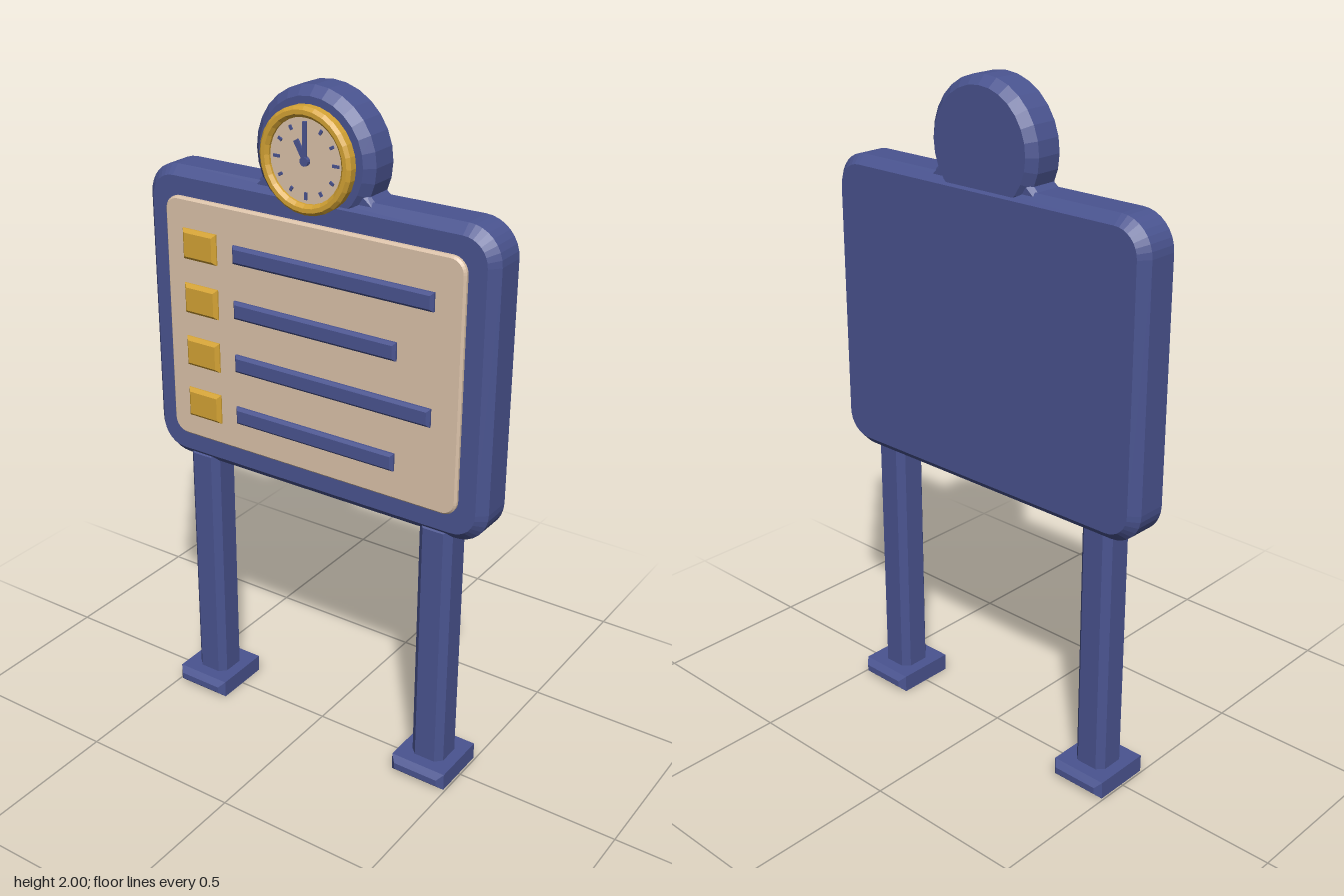
import * as THREE from 'three';

const mat = (name, color) => {
  const m = new THREE.MeshStandardMaterial({ color });
  m.name = name;
  return m;
};

// Rectangle outline centred on the origin, with optional rounded corners
function rectShape(w, h, r = 0) {
  const s = new THREE.Shape(), x = w / 2, y = h / 2;
  if (!r) {
    return s.moveTo(-x, -y).lineTo(x, -y).lineTo(x, y).lineTo(-x, y).closePath();
  }
  s.absarc(x - r, y - r, r, 0, Math.PI / 2);
  s.absarc(-x + r, y - r, r, Math.PI / 2, Math.PI);
  s.absarc(-x + r, -y + r, r, Math.PI, Math.PI * 1.5);
  s.absarc(x - r, -y + r, r, Math.PI * 1.5, Math.PI * 2);
  return s.closePath();
}

function circleShape(r, hole = 0) {
  const s = new THREE.Shape();
  s.absarc(0, 0, r, 0, Math.PI * 2);
  if (hole) s.holes.push(new THREE.Path().absarc(0, 0, hole, 0, Math.PI * 2, true));
  return s;
}

// Plate from z0 to z1 with one chamfer step; the shape is its widest outline
function plate(shape, z0, z1, bevel, segments = 4) {
  return new THREE.ExtrudeGeometry(shape, {
    depth: z1 - z0 - 2 * bevel, curveSegments: segments, bevelEnabled: bevel > 0,
    bevelThickness: bevel, bevelSize: bevel, bevelOffset: -bevel, bevelSegments: 1,
  }).translate(0, 0, z0 + bevel);
}

export function createModel() {
  const model = new THREE.Group();
  model.name = 'stationNoticeBoard';
  const blue = mat('frameBlue', 0x4a5490);
  const cream = mat('panelCream', 0xdcc3aa);
  const gold = mat('trimGold', 0xd4a334);

  const add = (name, geometry, material, x, y, parent = model) => {
    const mesh = new THREE.Mesh(geometry, material);
    mesh.name = name;
    mesh.position.set(x, y, 0);
    parent.add(mesh);
    return mesh;
  };

  // Legs and feet
  for (const [side, sx] of [['left', 1], ['right', -1]]) {
    add(side + 'Leg', plate(rectShape(0.106, 0.82), -0.053, 0.053, 0.02), blue, sx * 0.405, 0.44);
    add(side + 'Foot', plate(rectShape(0.178, 0.054), -0.107, 0.107, 0.017), blue, sx * 0.405, 0.027);
  }

  // Board and its pale panel
  add('board', plate(rectShape(1.13, 0.9, 0.1), -0.08, 0.062, 0.027), blue, 0, 1.27);
  add('panel', plate(rectShape(0.97, 0.735, 0.045), 0.05, 0.076, 0.006), cream, 0, 1.272);

  // Rows: gold square and blue bar
  const rows = new THREE.Group();
  rows.name = 'rows';
  model.add(rows);
  for (let i = 0; i < 4; i++) {
    const y = 1.508 - i * 0.163;
    const w = i % 2 ? 0.535 : 0.645;
    add('rowSquare', plate(rectShape(0.117, 0.09), 0.066, 0.09, 0.01), gold, -0.362, y, rows);
    add('rowBar', plate(rectShape(w, 0.053), 0.066, 0.09, 0.008), blue, -0.245 + w / 2, y, rows);
  }

  // Sloped neck between board and clock
  const neck = new THREE.Shape().moveTo(-0.205, 1.7).lineTo(0.205, 1.7)
    .lineTo(0.145, 1.762).lineTo(-0.145, 1.762).closePath();
  add('neck', plate(neck, -0.062, 0.045, 0.015), blue, 0, 0);

  // Clock
  const clock = new THREE.Group();
  clock.name = 'clock';
  clock.position.y = 1.81;
  model.add(clock);
  add('clockHousing', plate(circleShape(0.19), -0.073, 0.057, 0.025, 14), blue, 0, 0, clock);
  add('clockRing', plate(circleShape(0.145, 0.115), 0.05, 0.09, 0.009, 14), gold, 0, 0, clock);
  add('clockFace', plate(circleShape(0.122), 0.05, 0.074, 0, 14), cream, 0, 0, clock);

  // Hour marks, hands and hub
  for (let i = 0; i < 12; i++) {
    const length = i % 3 ? 0.013 : 0.02;
    const mark = plate(rectShape(0.008, length), 0.073, 0.078, 0).translate(0, 0.094, 0);
    add('hourMark', mark, blue, 0, 0, clock).rotation.z = -i * Math.PI / 6;
  }
  const hand = (name, width, length, z, hour) => {
    const geometry = plate(rectShape(width, length + 0.012), z, z + 0.005, 0)
      .translate(0, length / 2 - 0.006, 0);
    add(name, geometry, blue, 0, 0, clock).rotation.z = -hour * Math.PI / 6;
  };
  hand('minuteHand', 0.012, 0.104, 0.078, 0);
  hand('hourHand', 0.016, 0.06, 0.075, 11);
  add('hub', plate(circleShape(0.013), 0.073, 0.086, 0, 6), blue, 0, 0, clock);

  return model;
}
